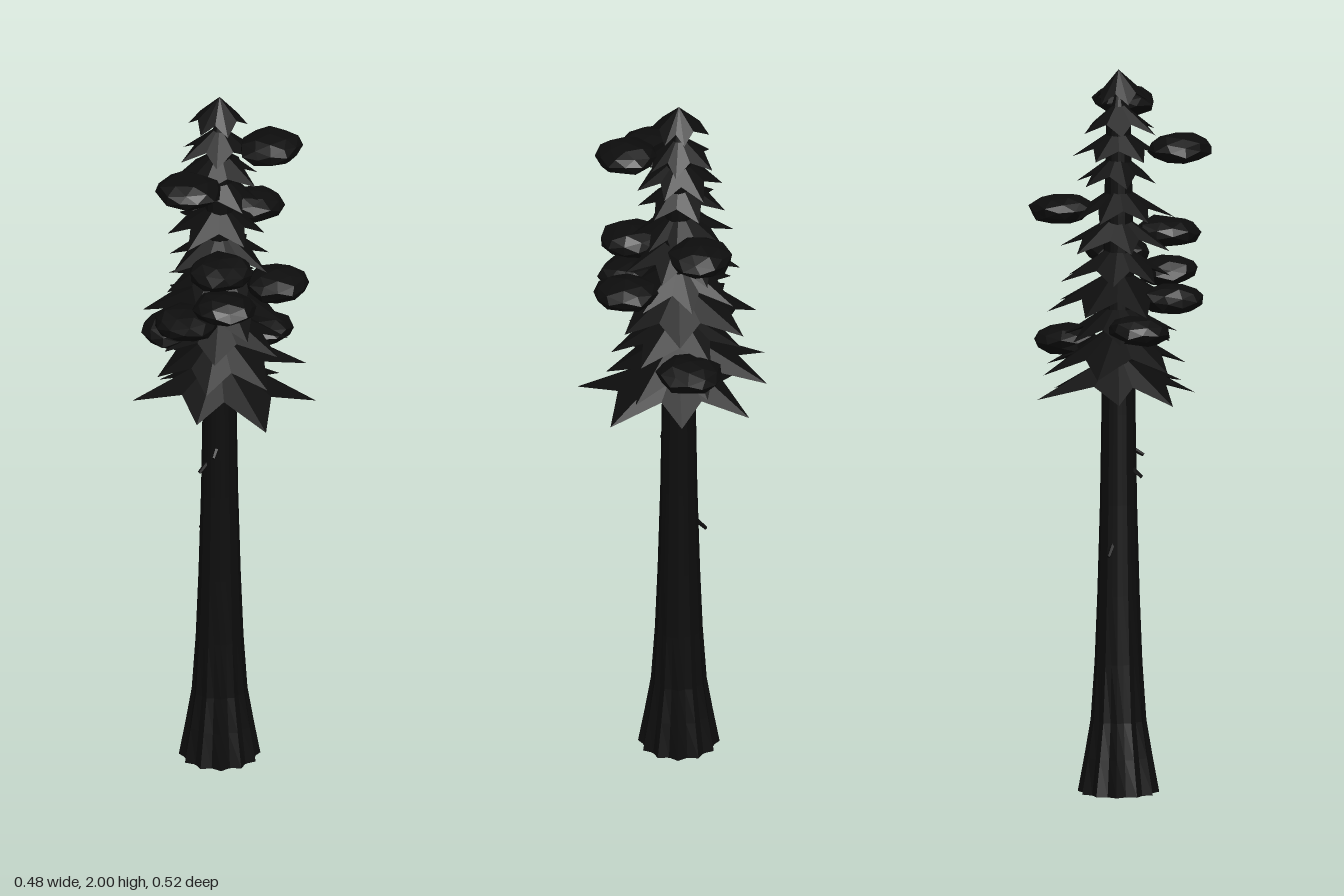
import * as THREE from 'three';

const AXIS_Z = -0.018; // the trunk stands slightly behind the centre
const mat = new THREE.MeshStandardMaterial({ color: 0x0d0d0d, flatShading: true, side: THREE.DoubleSide });

function seeded(seed) {
  let s = seed * 7919 + 17;
  return () => (s = (s * 16807) % 2147483647) / 2147483647;
}

// Tapering trunk with a fluted, flared foot
function makeTrunk() {
  const profile = [[0.104, 0], [0.088, 0.1], [0.073, 0.2], [0.064, 0.36], [0.057, 0.55],
    [0.05, 0.8], [0.046, 1.05], [0.043, 1.3], [0.039, 1.6], [0.033, 1.85], [0.001, 1.96]];
  const geo = new THREE.LatheGeometry(profile.map(([r, y]) => new THREE.Vector2(r, y)), 24);
  const p = geo.attributes.position;
  for (let i = 0; i < p.count; i++) {
    const a = Math.atan2(p.getX(i), p.getZ(i));
    const k = 1 + 0.07 * Math.cos(a * 12) * Math.max(0.2, 1 - p.getY(i) / 0.5);
    p.setX(i, p.getX(i) * k);
    p.setZ(i, p.getZ(i) * k);
  }
  geo.computeVertexNormals();
  const trunk = new THREE.Mesh(geo, mat);
  trunk.name = 'trunk';
  const foot = new THREE.Mesh(new THREE.CircleGeometry(0.1, 24), mat);
  foot.rotation.x = Math.PI / 2;
  foot.position.y = 0.001;
  foot.name = 'trunkFoot';
  const group = new THREE.Group();
  group.add(trunk, foot);
  group.name = 'trunkGroup';
  return group;
}

// Jagged skirt of drooping boughs: tips hang low, valleys sit higher and closer in
function makeSkirt(tips, tipY, height, valley = 0.62) {
  const rim = [];
  tips.forEach(([a, r], i) => {
    const last = i === tips.length - 1;
    const [a2, r2] = last ? [tips[0][0] + Math.PI * 2, tips[0][1]] : tips[i + 1];
    const rv = Math.min(r, r2) * valley;
    rim.push([Math.sin(a) * r, tipY, Math.cos(a) * r]);
    const am = (a + a2) / 2;
    rim.push([Math.sin(am) * rv, tipY + height * 0.32, Math.cos(am) * rv]);
  });
  const top = [0, tipY + height, 0], under = [0, tipY + height * 0.5, 0];
  const pos = [];
  rim.forEach((q, i) => {
    const n = rim[(i + 1) % rim.length];
    pos.push(...top, ...q, ...n, ...under, ...n, ...q);
  });
  const geo = new THREE.BufferGeometry();
  geo.setAttribute('position', new THREE.Float32BufferAttribute(pos, 3));
  geo.computeVertexNormals();
  return new THREE.Mesh(geo, mat);
}

// Tip points (x, z) as sorted [angle, radius] around the trunk
const polar = (pts) => pts
  .map(([x, z]) => [Math.atan2(x, z - AXIS_Z), Math.hypot(x, z - AXIS_Z)])
  .sort((a, b) => a[0] - b[0]);

// Evenly spread tips with some irregularity
function ringTips(count, radius, seed) {
  const rnd = seeded(seed);
  const turn = rnd() * 6;
  return Array.from({ length: count }, (_, i) => [
    turn + ((i + (rnd() - 0.5) * 0.4) / count) * Math.PI * 2,
    radius * (0.82 + rnd() * 0.22),
  ]);
}

// Flattened faceted clump of needles
function makeClump([x, y, z, r], i) {
  const geo = new THREE.IcosahedronGeometry(1, 1);
  const p = geo.attributes.position;
  for (let v = 0; v < p.count; v++) {
    const a = p.getX(v), b = p.getY(v), c = p.getZ(v);
    const k = 1 + 0.09 * Math.sin(a * 5 + i * 2.1) * Math.cos(c * 4 + b * 3 + i);
    p.setXYZ(v, a * k, b * k, c * k);
  }
  geo.computeVertexNormals();
  const clump = new THREE.Mesh(geo, mat);
  clump.scale.set(r, 0.041, r);
  clump.rotation.set(0.08 * Math.sin(i * 2), i * 1.3, 0.08 * Math.cos(i * 3));
  clump.position.set(x, y, z);
  clump.name = 'foliageClump' + (i + 1);
  return clump;
}

// Short dead branch from one point to another
function makeStub(from, to, i) {
  const a = new THREE.Vector3(...from), b = new THREE.Vector3(...to);
  const d = b.clone().sub(a);
  const stub = new THREE.Mesh(new THREE.CylinderGeometry(0.005, 0.007, d.length(), 5), mat);
  stub.position.copy(a).addScaledVector(d, 0.5);
  stub.quaternion.setFromUnitVectors(new THREE.Vector3(0, 1, 0), d.normalize());
  stub.name = 'branchStub' + (i + 1);
  return stub;
}

export function createModel() {
  const tree = new THREE.Group();
  tree.name = 'tree';

  const trunk = makeTrunk();
  trunk.position.z = AXIS_Z;
  tree.add(trunk);

  // Bough layers from the lowest upwards: tips, tip height, layer height
  const layers = [
    [polar([[-0.025, 0.26], [0.195, 0.165], [0.2, -0.03], [0.138, -0.213], [-0.1, -0.17], [-0.23, -0.1], [-0.16, 0.12]]), 1.1, 0.12],
    [polar([[0.03, 0.18], [0.21, 0.095], [0.18, -0.1], [0.088, -0.26], [-0.082, -0.25], [-0.18, -0.05], [-0.13, 0.12]]), 1.18, 0.12],
    [ringTips(7, 0.19, 3), 1.265, 0.1],
    [ringTips(7, 0.205, 4), 1.345, 0.11],
    [ringTips(7, 0.17, 5), 1.425, 0.1],
    [ringTips(7, 0.165, 6), 1.51, 0.095],
    [ringTips(7, 0.15, 7), 1.595, 0.09],
    [ringTips(6, 0.125, 8), 1.69, 0.085],
    [ringTips(6, 0.125, 9), 1.76, 0.085],
    [ringTips(6, 0.12, 10), 1.83, 0.085],
    [ringTips(6, 0.085, 11), 1.915, 0.085],
  ];
  layers.forEach(([tips, y, h], i) => {
    const skirt = makeSkirt(tips, y, h, i > 9 ? 0.75 : 0.66);
    skirt.position.z = AXIS_Z;
    skirt.name = i === layers.length - 1 ? 'crownTip' : 'boughLayer' + (i + 1);
    tree.add(skirt);
  });

  // Clumps at the ends of the boughs: x, y, z, radius
  [
    [0.075, 1.888, 0.125, 0.085], [-0.15, 1.785, 0.06, 0.09], [0.145, 1.61, -0.08, 0.087],
    [-0.075, 1.54, 0.11, 0.088], [0.095, 1.468, 0.125, 0.088], [-0.07, 1.43, 0.115, 0.087],
    [-0.14, 1.37, 0.03, 0.088], [-0.11, 1.295, -0.085, 0.083], [0.15, 1.245, -0.05, 0.088],
  ].forEach((c, i) => tree.add(makeClump(c, i)));

  // Dead stubs on the bare trunk
  [
    [[-0.035, 0.905, -0.015], [-0.07, 0.876, -0.01]],
    [[-0.025, 0.95, 0.01], [-0.05, 0.93, 0.03]],
    [[-0.01, 0.695, -0.06], [-0.015, 0.662, -0.092]],
  ].forEach(([a, b], i) => tree.add(makeStub(a, b, i)));

  return tree;
}
